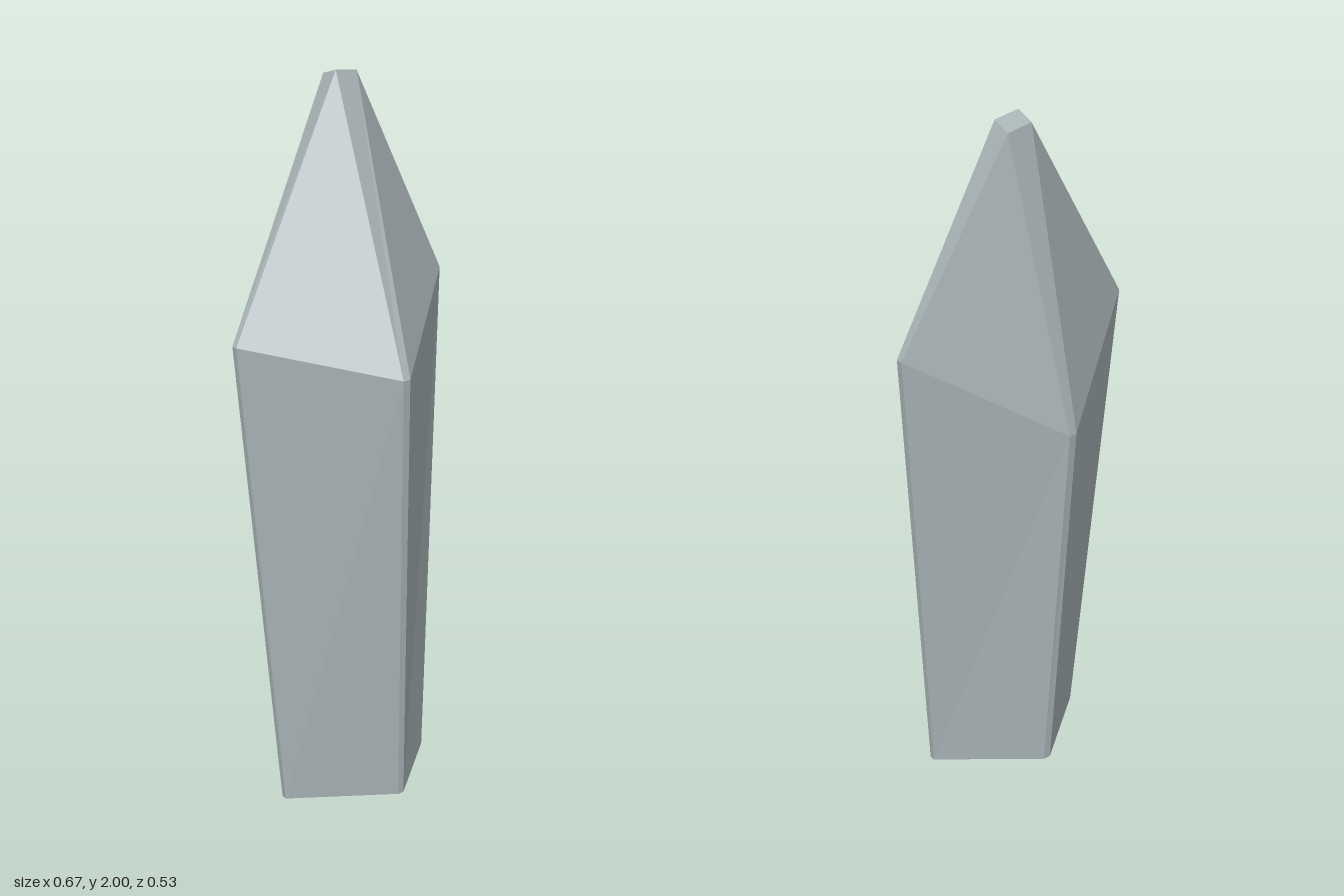
import * as THREE from 'three';

// Cross-sections [x, y, z], counter-clockwise from above; ridges are narrow bevels (pairs of corners)
const base = [
  [-0.212, 0, 0.075], [-0.206, 0, 0.09], // left ridge
  [0.105, 0, 0.161], [0.123, 0, 0.155], // front ridge
  [0.257, 0, -0.073], [0.25, 0, -0.088], // right ridge
  [-0.063, 0, -0.165], [-0.083, 0, -0.158], // back ridge
];
const shoulder = [
  [-0.333, 1.37, 0.117], [-0.327, 1.37, 0.132],
  [0.07, 1.285, 0.262], [0.09, 1.285, 0.255],
  [0.333, 1.43, -0.207], [0.325, 1.43, -0.222],
  [-0.09, 1.18, -0.265], [-0.11, 1.18, -0.255],
];
const tip = [
  [-0.013, 1.985, -0.157], [0.005, 2, -0.106],
  [0.07, 1.992, -0.138], [0.052, 1.977, -0.19],
];
// Each tip corner is shared by two neighbouring shoulder corners
const tipRing = shoulder.map((_, i) => tip[Math.floor((i + 1) / 2) % 4]);

// Joins two rings with triangles, leaving out collapsed ones
function band(low, high) {
  const out = [];
  low.forEach((a, i) => {
    const j = (i + 1) % low.length;
    out.push(a, low[j], high[j]);
    if (high[i] !== high[j]) out.push(a, high[j], high[i]);
  });
  return out;
}

function part(name, points, material) {
  const geometry = new THREE.BufferGeometry();
  geometry.setAttribute('position', new THREE.Float32BufferAttribute(points.flat(), 3));
  geometry.computeVertexNormals();
  const mesh = new THREE.Mesh(geometry, material);
  mesh.name = name;
  return mesh;
}

export function createModel() {
  const model = new THREE.Group();
  model.name = 'crystal';
  const material = new THREE.MeshStandardMaterial({
    color: 0xa9b4b7, flatShading: true, side: THREE.DoubleSide,
  });

  // Flaring shaft, open underneath
  model.add(part('crystalShaft', band(base, shoulder), material));
  // Leaning point above the shoulder
  model.add(part('crystalPoint', band(shoulder, tipRing), material));
  // Small cut facet at the top
  const [a, b, c, d] = tip;
  model.add(part('tipFacet', [a, b, c, a, c, d], material));
  return model;
}
